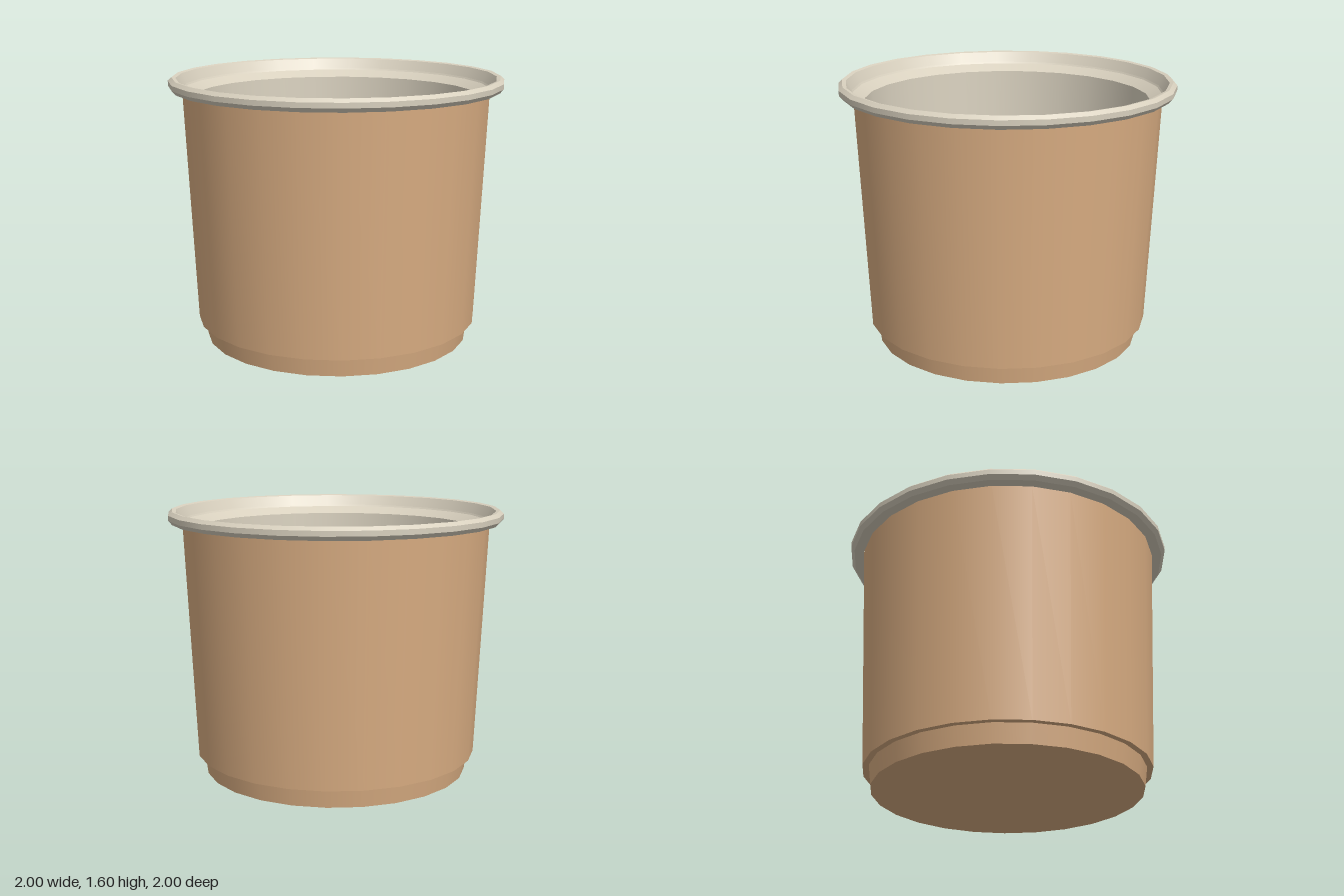
import * as THREE from 'three';
import { mergeGeometries } from 'three/addons/utils/BufferGeometryUtils.js';

const SIDES = 25;

// Revolve a profile, smooth around the axis with a sharp edge at every profile point.
function turned(name, profile, material) {
  const bands = [];
  for (let i = 0; i < profile.length - 1; i++) {
    const pair = [profile[i], profile[i + 1]].map(([r, y]) => new THREE.Vector2(r, y));
    bands.push(new THREE.LatheGeometry(pair, SIDES, Math.PI / 2));
  }
  const mesh = new THREE.Mesh(mergeGeometries(bands), material);
  mesh.name = name;
  return mesh;
}

export function createModel() {
  const tan = new THREE.MeshStandardMaterial({ name: 'tan outside', color: 0xd9ad82 });
  const cream = new THREE.MeshStandardMaterial({ name: 'cream inside', color: 0xd8d0be });

  const pot = new THREE.Group();
  pot.name = 'pot';

  // Underside, inset foot and tapered outer wall
  pot.add(turned('outerWall', [
    [0, 0], [0.803, 0], [0.818, 0.115], [0.855, 0.115], [0.92, 1.53],
  ], tan));

  // Rolled lip with bevelled edges
  pot.add(turned('rim', [
    [0.92, 1.525], [0.98, 1.525], [1.002, 1.55], [1.002, 1.58], [0.98, 1.6],
    [0.957, 1.595], [0.925, 1.535],
  ], cream));

  // Sloped ledge, inner wall and floor
  pot.add(turned('innerWall', [
    [0.925, 1.535], [0.918, 1.525], [0.85, 1.485], [0.785, 0.115], [0.772, 0.03], [0, 0.03],
  ], cream));

  // An odd number of sides needs a small shift to sit centred
  pot.children.forEach((part) => { part.position.x = -0.004; });
  return pot;
}
